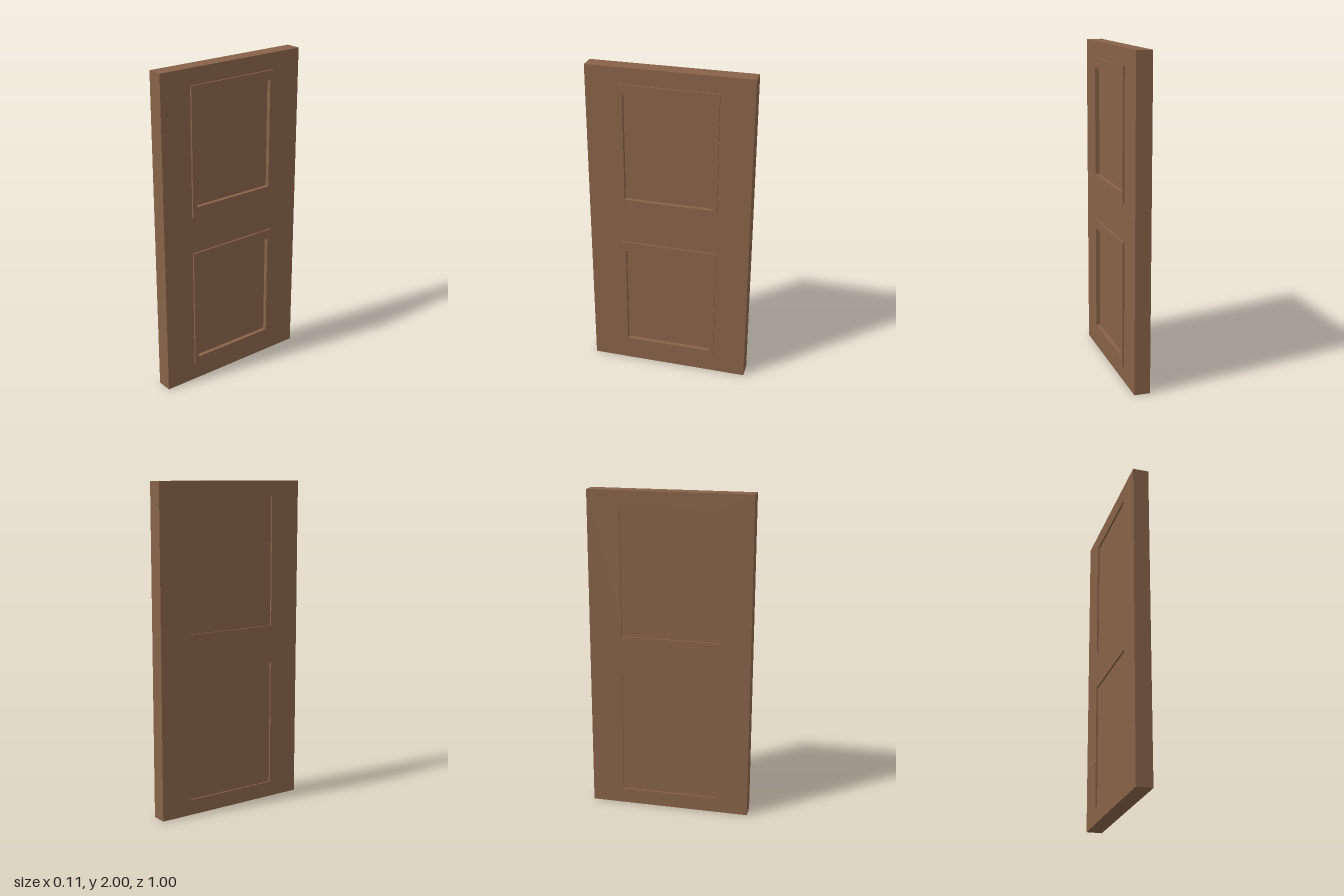
import * as THREE from 'three';

const BACK = -0.054, FACE = 0.043, OFFSET = 0.011, RECESS = 0.026;

// Traces a rectangle in the door plane
function rect(path, halfWidth, y0, y1) {
  path.moveTo(-halfWidth, y0);
  path.lineTo(halfWidth, y0);
  path.lineTo(halfWidth, y1);
  path.lineTo(-halfWidth, y1);
  path.closePath();
  return path;
}

// Extrudes a shape through the door's thickness, from x0 to x1
function slab(name, shape, x0, x1, material) {
  const geometry = new THREE.ExtrudeGeometry(shape, { depth: x1 - x0, bevelEnabled: false });
  geometry.rotateY(Math.PI / 2);
  geometry.translate(x0, 0, 0);
  const mesh = new THREE.Mesh(geometry, material);
  mesh.name = name;
  return mesh;
}

export function createModel() {
  const door = new THREE.Group();
  door.name = 'door';
  const wood = new THREE.MeshStandardMaterial({ color: 0x876247 });
  wood.name = 'brown wood';

  const panels = [
    { name: 'upper', outer: [1.11, 1.90], inner: [1.17, 1.84] },
    { name: 'lower', outer: [0.095, 0.875], inner: [0.157, 0.815] },
  ];

  // Door leaf with two openings
  const leaf = rect(new THREE.Shape(), 0.5, 0, 2);
  for (const p of panels) leaf.holes.push(rect(new THREE.Path(), 0.3, ...p.outer));
  door.add(slab('doorLeaf', leaf, BACK, FACE, wood));

  // Inserts pushed through the openings: sunk at the back, raised and recessed at the front
  for (const p of panels) {
    const front = FACE + OFFSET, floor = front - RECESS;
    const board = rect(new THREE.Shape(), 0.3, ...p.outer);
    door.add(slab(p.name + 'Panel', board, BACK + OFFSET, floor, wood));
    const frame = rect(new THREE.Shape(), 0.3, ...p.outer);
    frame.holes.push(rect(new THREE.Path(), 0.273, ...p.inner));
    door.add(slab(p.name + 'Moulding', frame, floor, front, wood));
  }
  return door;
}
